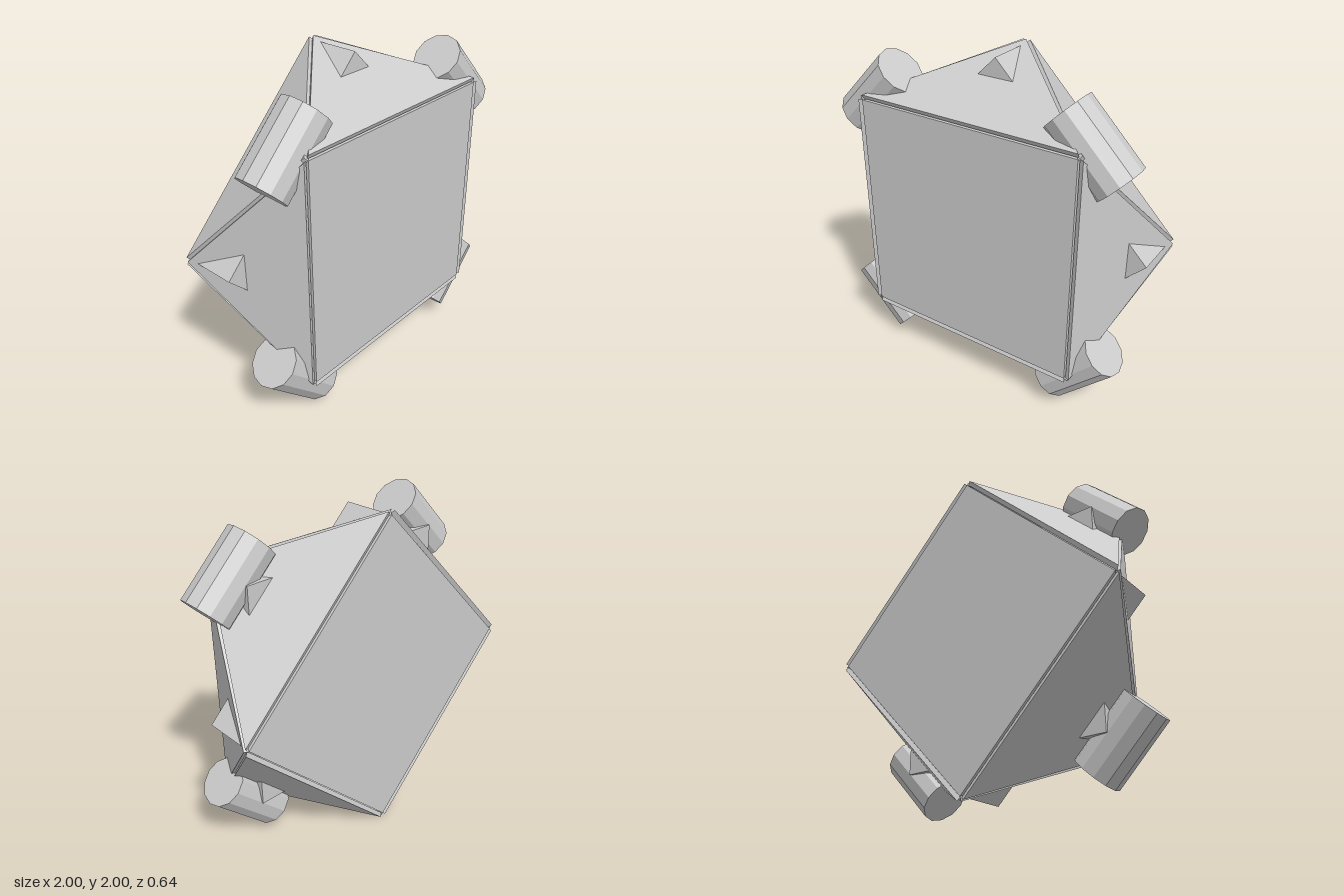
import * as THREE from 'three';

const HALF = 0.69;                 // half side of each square
const R = HALF * Math.SQRT2;       // corner radius of each square
const DEPTH = 0.32;                // half depth of the body
const THICK = 0.027;               // panel thickness

export function createModel() {
  const model = new THREE.Group();
  model.name = 'antiprismBody';
  const mat = new THREE.MeshStandardMaterial({ color: 0xcccccc, flatShading: true });
  const body = new THREE.Group();
  body.name = 'body';
  body.position.y = 1;
  model.add(body);

  const add = (parent, geometry, name) => {
    const mesh = new THREE.Mesh(geometry, mat);
    mesh.name = name;
    parent.add(mesh);
    return mesh;
  };

  // Two square blocks, the rear one turned 45 degrees
  const block = new THREE.BoxGeometry(2 * HALF, 2 * HALF, DEPTH);
  add(body, block, 'frontBlock').position.z = DEPTH / 2;
  const rear = add(body, block, 'rearBlock');
  rear.position.z = -DEPTH / 2;
  rear.rotation.z = Math.PI / 4;

  // Eight sloping triangular panels, alternately facing front and back
  const rise = R - HALF;
  const slope = Math.hypot(rise, 2 * DEPTH);
  const triangle = new THREE.Shape([
    new THREE.Vector2(-HALF, 0.012),
    new THREE.Vector2(HALF, 0.012),
    new THREE.Vector2(0, slope),
  ]);
  const panelGeo = new THREE.ExtrudeGeometry(triangle, { depth: THICK, bevelEnabled: false });
  panelGeo.rotateX(-Math.atan2(2 * DEPTH, rise));
  panelGeo.translate(0, HALF, DEPTH);
  for (let i = 0; i < 8; i++) {
    const spoke = new THREE.Group();
    spoke.name = 'panelMount';
    spoke.rotation.z = i * Math.PI / 4;
    const panel = add(spoke, panelGeo, i % 2 ? 'rearPanel' : 'frontPanel');
    if (i % 2) panel.rotation.y = Math.PI;
    body.add(spoke);
  }

  // Four corner cylinders lying across the diagonals
  const cylinder = new THREE.CylinderGeometry(0.145, 0.145, 0.45, 12);
  for (let i = 0; i < 4; i++) {
    const a = Math.PI / 4 + i * Math.PI / 2;
    const c = add(body, cylinder, 'cornerCylinder');
    c.position.set(R * Math.cos(a), R * Math.sin(a), 0.155);
    c.rotation.z = a;
  }
  return model;
}
